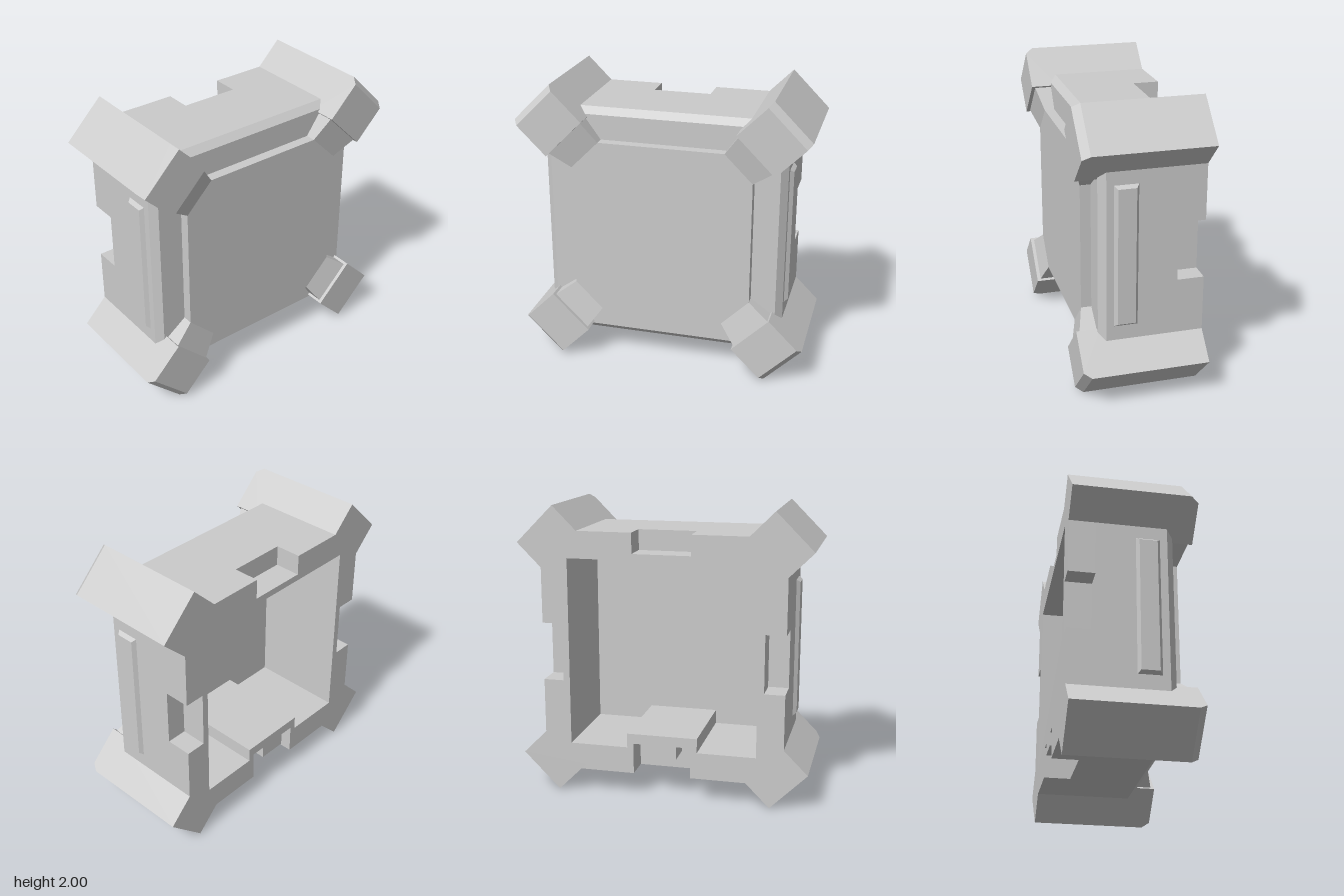
import * as THREE from 'three';

const material = new THREE.MeshStandardMaterial({ color: 0xcccccc, flatShading: true });

const toPoints = (list) => list.map(([x, y]) => new THREE.Vector2(x, y));

function add(parent, name, geometry) {
  const mesh = new THREE.Mesh(geometry, material);
  mesh.name = name;
  parent.add(mesh);
  return mesh;
}

// Straight extrusion of an outline from z0 to z1
function slab(outline, z0, z1, hole) {
  const shape = new THREE.Shape(toPoints(outline));
  if (hole) shape.holes.push(new THREE.Path(toPoints(hole)));
  const geometry = new THREE.ExtrudeGeometry(shape, { depth: z1 - z0, bevelEnabled: false });
  return geometry.translate(0, 0, z0);
}

// Box from z0 to z1 whose front face is inset on every side
function bevelBox(w, h, z0, z1, inset) {
  const geometry = new THREE.BoxGeometry(w, h, z1 - z0).translate(0, 0, (z0 + z1) / 2);
  const p = geometry.attributes.position;
  for (let i = 0; i < p.count; i++) {
    if (p.getZ(i) < (z0 + z1) / 2) continue;
    p.setXY(i, p.getX(i) - Math.sign(p.getX(i)) * inset, p.getY(i) - Math.sign(p.getY(i)) * inset);
  }
  geometry.computeVertexNormals();
  return geometry;
}

// Sloped brace running outward along +x, rising and widening toward the post
function braceGeometry() {
  const geometry = new THREE.BoxGeometry(1, 1, 1);
  const p = geometry.attributes.position;
  for (let i = 0; i < p.count; i++) {
    const outer = p.getX(i) > 0;
    const half = outer ? 0.165 : 0.134;
    const top = outer ? 0.4 : 0.35;
    p.setXYZ(i, outer ? 0.93 : 0.742, Math.sign(p.getY(i)) * half, p.getZ(i) > 0 ? top : 0.26);
  }
  geometry.computeVertexNormals();
  return geometry;
}

export function createModel() {
  const model = new THREE.Group();
  model.name = 'openBackedCase';
  const core = new THREE.Group();
  core.name = 'case';
  core.position.y = 1;
  model.add(core);

  const B = 0.835, C = 0.65, N = 0.2, D = B - 0.14;
  const back = -0.42, step = -0.24, front = 0.235;

  // Cavity with a raised block along its floor
  const cavity = [
    [-C, -C], [-0.245, -C], [-0.245, -0.55], [0.245, -0.55], [0.245, -C], [C, -C], [C, C], [-C, C],
  ];

  // Rear rim, notched on all four sides; the lower notch holds a central stub
  const rim = [
    [-B, -B], [-N, -B], [-N, -0.62], [-0.1, -0.62], [-0.1, -0.71], [0.1, -0.71], [0.1, -0.62], [N, -0.62], [N, -B],
    [B, -B], [B, -N], [D, -N], [D, N], [B, N],
    [B, B], [N, B], [N, D], [-N, D], [-N, B],
    [-B, B], [-B, N], [-D, N], [-D, -N], [-B, -N],
  ];
  add(core, 'rearRim', slab(rim, back, step, cavity));
  add(core, 'walls', slab([[-B, -B], [B, -B], [B, B], [-B, B]], step, front, cavity));

  // Front: bevelled plate and raised panel with cut corners
  add(core, 'frontPlate', bevelBox(2 * B, 2 * B, front, 0.28, 0.045));
  const a = 0.62, b = 0.43;
  add(core, 'frontPanel', slab(
    [[-b, -a], [b, -a], [a, -b], [a, b], [b, a], [-b, a], [-a, b], [-a, -b]], 0.26, 0.35));

  // Corner posts and braces, on the diagonals
  const postProfile = [
    [0.95, back], [1.234, back], [1.234, 0.37], [1.192, 0.42], [0.912, 0.42], [0.912, 0.26], [0.95, 0.26],
  ];
  const post = slab(postProfile, -0.18, 0.18).rotateX(Math.PI / 2);
  const brace = braceGeometry();
  for (let i = 0; i < 4; i++) {
    const corner = new THREE.Group();
    corner.name = 'corner';
    corner.rotation.z = Math.PI / 4 + i * Math.PI / 2;
    add(corner, 'cornerPost', post);
    add(corner, 'cornerBrace', brace);
    core.add(corner);
  }

  // Raised trim bars on both sides
  const trim = bevelBox(0.16, 0.97, 0, 0.025, 0.02);
  for (const side of [-1, 1]) {
    const bar = add(core, 'sideTrim', trim);
    bar.rotation.y = side * Math.PI / 2;
    bar.position.set(side * B, 0.005, 0.105);
  }
  return model;
}
